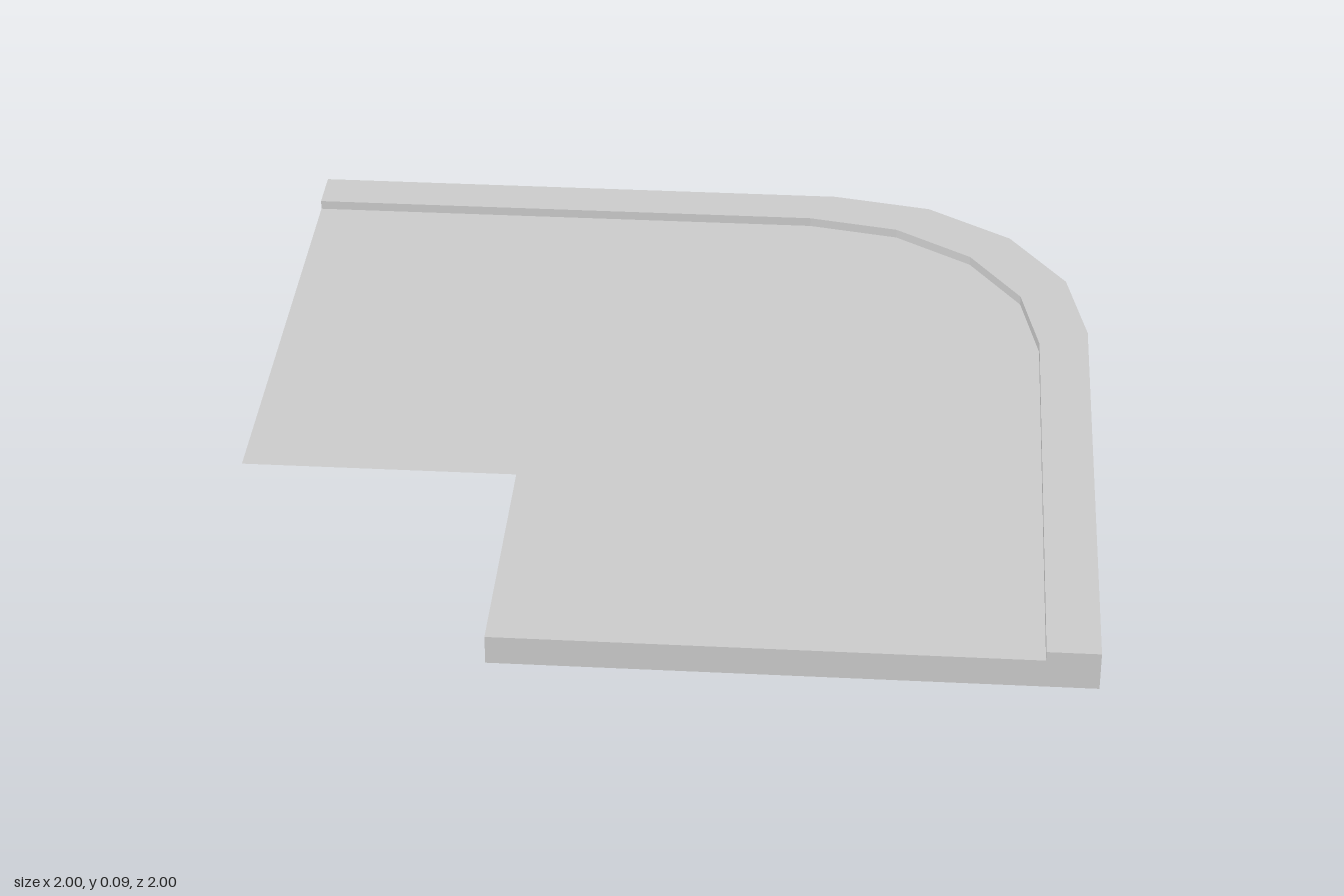
import * as THREE from 'three';

const CURB_HEIGHT = 0.093, PAVING_HEIGHT = 0.07;
const OUTER = { edge: 1, centre: 0.35 }, INNER = { edge: 0.88, centre: 0.29 };

// Quarter arc in plan (plan y = -z), from the back run round to the side run
function arcPoints({ edge, centre }, segments = 4) {
  const r = edge - centre;
  return Array.from({ length: segments + 1 }, (_, i) => {
    const a = (Math.PI / 2) * (1 - i / segments);
    return new THREE.Vector2(centre + r * Math.cos(a), centre + r * Math.sin(a));
  });
}

// Plan edge line: straight back run, rounded corner, straight side run
function edgeLine(line) {
  return [new THREE.Vector2(-1, line.edge), ...arcPoints(line), new THREE.Vector2(line.edge, -1)];
}

// Round the shading of the outer corner wall; everything else stays flat
function smoothOuterCorner(geometry) {
  const p = geometry.attributes.position, n = geometry.attributes.normal;
  const c = OUTER.centre, r = OUTER.edge - c;
  for (let i = 0; i < p.count; i++) {
    const dx = p.getX(i) - c, dz = p.getZ(i) + c;
    const onArc = dx > -1e-4 && dz < 1e-4 && Math.abs(Math.hypot(dx, dz) - r) < 1e-3;
    if (onArc && Math.abs(n.getY(i)) < 0.5) n.setXYZ(i, dx / r, 0, dz / r);
  }
}

export function createModel() {
  const group = new THREE.Group();
  group.name = 'pavementCorner';
  const solid = new THREE.MeshStandardMaterial({ color: 0xcccccc });
  const thin = new THREE.MeshStandardMaterial({ color: 0xcccccc, side: THREE.DoubleSide });

  const add = (name, geometry, material) => {
    const mesh = new THREE.Mesh(geometry, material);
    mesh.name = name;
    group.add(mesh);
    return mesh;
  };

  // Raised curb along the back and side
  const curbShape = new THREE.Shape([...edgeLine(OUTER), ...edgeLine(INNER).reverse()]);
  const curb = new THREE.ExtrudeGeometry(curbShape, { depth: CURB_HEIGHT, bevelEnabled: false });
  curb.rotateX(-Math.PI / 2);
  smoothOuterCorner(curb);
  add('curb', curb, solid);

  // Thin L-shaped paving surface inside the curb
  const pavingShape = new THREE.Shape([
    ...edgeLine(INNER),
    new THREE.Vector2(-0.35, -1),
    new THREE.Vector2(-0.35, -0.35),
    new THREE.Vector2(-1, -0.35),
  ]);
  const paving = new THREE.ShapeGeometry(pavingShape).rotateX(-Math.PI / 2);
  add('paving', paving, thin).position.y = PAVING_HEIGHT;

  // Thin face closing the front end below the paving
  const width = INNER.edge + 0.35;
  add('frontFace', new THREE.PlaneGeometry(width, PAVING_HEIGHT), thin)
    .position.set(-0.35 + width / 2, PAVING_HEIGHT / 2, 1);

  return group;
}
